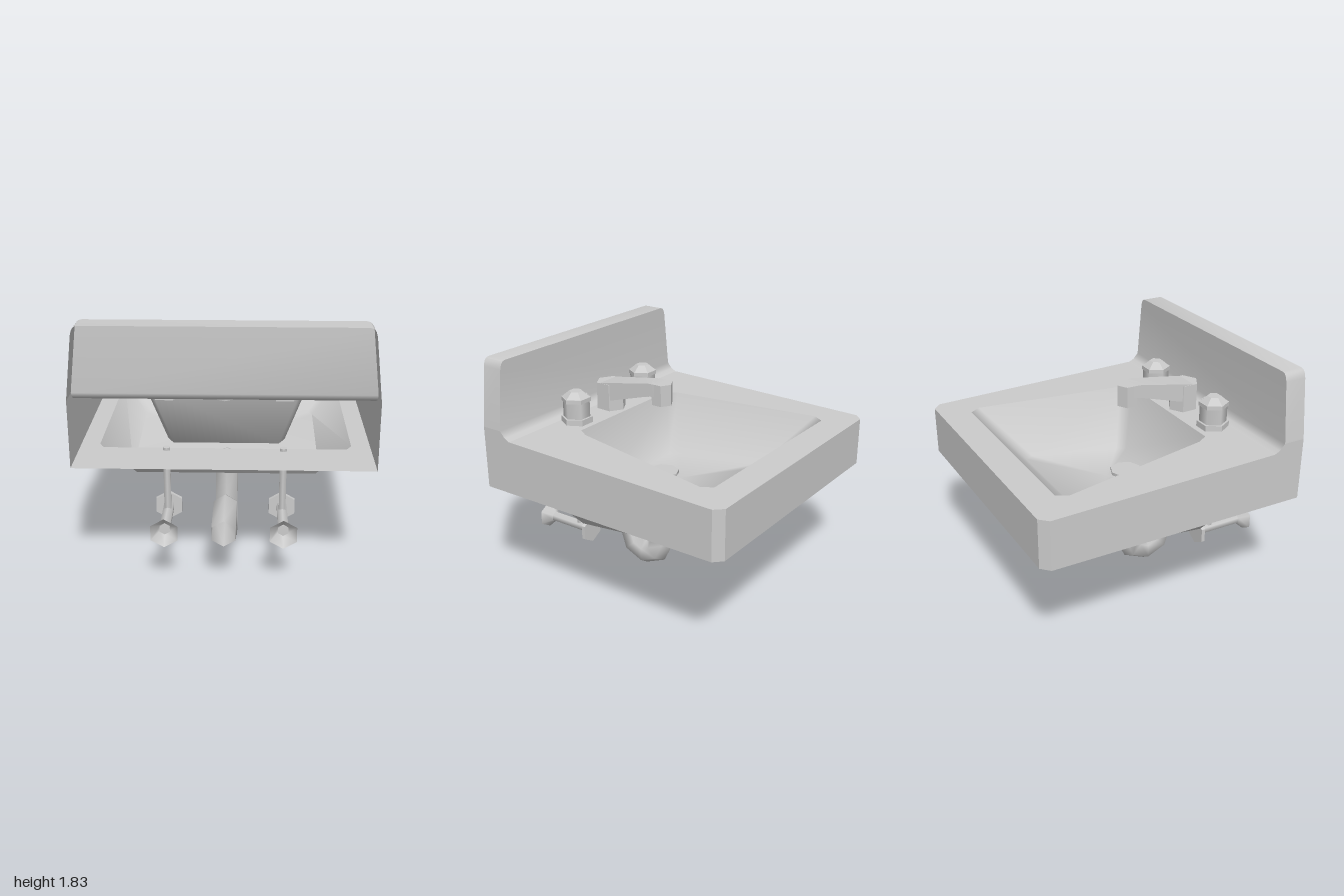
import * as THREE from 'three';
import { toCreasedNormals } from 'three/addons/utils/BufferGeometryUtils.js';

const material = new THREE.MeshStandardMaterial({ color: 0xcccccc, side: THREE.DoubleSide });
const FLOOR = 0.87;
const deckY = (z) => 1.23 + (z + 1) * 0.023;

function add(parent, name, geometry) {
  const mesh = new THREE.Mesh(geometry, material);
  mesh.name = name;
  parent.add(mesh);
  return mesh;
}

// Skin a list of rings, each holding the same number of [x, y, z] points
function loft(rings, closed = true) {
  const n = rings[0].length, index = [];
  for (let r = 0; r < rings.length - 1; r++) {
    for (let i = 0; i < (closed ? n : n - 1); i++) {
      const a = r * n + i, b = r * n + (i + 1) % n;
      index.push(a, b, a + n, b, b + n, a + n);
    }
  }
  const geo = new THREE.BufferGeometry();
  geo.setAttribute('position', new THREE.Float32BufferAttribute(rings.flat(2), 3));
  geo.setIndex(index);
  geo.computeVertexNormals();
  return geo;
}

// Symmetric outline in [x, z] from its +x half
const mirrored = (half) => [...half, ...half.map(([x, z]) => [-x, z]).reverse()];

// Trapezoid with cut corners: half-width and z at both ends
const trapezoid = (w0, z0, w1, z1, cut) => mirrored([
  [w0 - cut * 0.6, z0], [w0, z0 + cut], [w1, z1 - cut], [w1 - cut * 0.6, z1]]);

const lift = (outline, fy) => outline.map(([x, z]) => [x, fy(z), z]);

// Flat sheet with a hole, its height set by a rule of z
function sheet(outline, hole, fy) {
  const toV = (p) => new THREE.Vector2(p[0], p[1]);
  const shape = new THREE.Shape(outline.map(toV));
  shape.holes.push(new THREE.Path(hole.map(toV)));
  const geo = new THREE.ShapeGeometry(shape);
  const pos = geo.attributes.position;
  for (let i = 0; i < pos.count; i++) {
    const z = pos.getY(i);
    pos.setXYZ(i, pos.getX(i), fy(z), z);
  }
  geo.computeVertexNormals();
  return geo;
}

// Six-sided tube swept along [z, y] points with mitred joints
function sweep(path, radius) {
  const pts = path.map(([z, y]) => new THREE.Vector2(z, y));
  const rings = pts.map((p, i) => {
    const d0 = pts[Math.max(i, 1)].clone().sub(pts[Math.max(i, 1) - 1]).normalize();
    const j = Math.min(i, pts.length - 2);
    const d1 = pts[j + 1].clone().sub(pts[j]).normalize();
    const t = d0.clone().add(d1).normalize();
    const miter = radius / t.dot(d1);
    return Array.from({ length: 6 }, (_, k) => {
      const a = k * Math.PI / 3, off = Math.cos(a) * miter;
      return [radius * Math.sin(a), p.y + t.x * off, p.x - t.y * off];
    });
  });
  return loft(rings);
}

// Hexagonal cylinder or cone between two heights
function hex(rBottom, rTop, y0, y1, start = 0, open = false) {
  const geo = new THREE.CylinderGeometry(rTop, rBottom, y1 - y0, 6, 1, open, start);
  return geo.translate(0, (y0 + y1) / 2, 0);
}

export function createModel() {
  const model = new THREE.Group();
  model.name = 'wallSink';

  const rim = trapezoid(0.78, -0.78, 0.57, 0.51, 0.08);
  const pan = trapezoid(0.87, -0.8, 0.87, 0.64, 0.06);

  // Outer casing, open towards the wall
  const casing = new THREE.Group();
  casing.name = 'casing';
  model.add(casing);
  const side = mirrored([[1, 1], [1, 0.84], [1, 0.8], [1, 0.76], [1, -0.94], [0.94, -1]]);
  const topEdge = (z) => (z >= 0.84 ? 1.335 : z >= 0.8 ? 1.29 : deckY(z));
  add(casing, 'apron', toCreasedNormals(
    loft([lift(side, () => FLOOR), lift(side, topEdge)], false), 0.5));
  add(casing, 'deck', sheet(mirrored([[1, 0.76], [1, -0.94], [0.94, -1]]), rim, deckY));
  add(casing, 'underside', sheet(mirrored([[1, 1], [1, -0.94], [0.94, -1]]), pan, () => FLOOR));

  // Backsplash: coved face plus its side and top edge
  const splash = [[1, 1.335], [0.95, 1.77], [0.94, 1.805], [0.925, 1.823], [0.9, 1.83]];
  const faceRows = [[1, deckY(0.76), 0.76], [1, 1.29, 0.8], ...splash.map(([x, y]) => [x, y, 0.84])];
  add(casing, 'backsplashFace', loft(faceRows.map(([x, y, z]) => [[x, y, z], [-x, y, z]]), false));
  const edge = mirrored(splash);
  add(casing, 'backsplashEdge', toCreasedNormals(
    loft([0.84, 1].map((z) => edge.map(([x, y]) => [x, y, z])), false), 0.6));

  // Inner basin and the outer pan below it
  const basinY = (z) => 0.83 - z * 0.07;
  const basinFloor = trapezoid(0.53, -0.45, 0.42, 0.38, 0.07);
  add(model, 'basin', loft([lift(rim, deckY), lift(basinFloor, basinY),
    basinFloor.map(() => [0, basinY(0), 0])]));
  const panY = (z) => 0.6 + (0.45 - z) * 0.1;
  const panFloor = trapezoid(0.67, -0.55, 0.67, 0.45, 0.05);
  add(model, 'outerPan', toCreasedNormals(loft([lift(pan, () => FLOOR), lift(panFloor, panY),
    panFloor.map(() => [0, panY(0), 0])]), 0.8));

  // Drain and trap
  const drain = add(model, 'drain', new THREE.CylinderGeometry(0.12, 0.12, 0.03, 8));
  drain.position.set(0, 0.835, 0.16);
  add(model, 'trapPipe', sweep([[0.172, 0.64], [0.172, 0.25], [0.225, 0.145], [0.33, 0.1],
    [0.44, 0.15], [0.505, 0.35], [0.61, 0.4], [1, 0.4]], 0.094));

  // Spout
  const spout = new THREE.Group();
  spout.name = 'spout';
  model.add(spout);
  add(spout, 'spoutBase', toCreasedNormals(hex(0.115, 0.115, 1.26, 1.475), 0.3)).position.z = 0.652;
  const bar = (z, w, y0, y1) => [[-w, y0, z], [w, y0, z], [w, y1, z], [-w, y1, z]];
  add(spout, 'spoutArm', toCreasedNormals(loft([bar(0.7, 0.098, 1.33, 1.472),
    bar(0.56, 0.092, 1.36, 1.497), bar(0.24, 0.076, 1.45, 1.55), bar(0.16, 0.07, 1.46, 1.55)]), 0.2));
  add(spout, 'spoutTip', toCreasedNormals(hex(0.083, 0.083, 1.39, 1.55), 0.3)).position.z = 0.167;

  for (const s of [-1, 1]) {
    // Tap knob
    const knob = new THREE.Group();
    knob.name = s > 0 ? 'leftKnob' : 'rightKnob';
    knob.position.set(s * 0.4, 0, 0.655);
    model.add(knob);
    const turn = Math.PI / 6;
    add(knob, 'knobFlange', toCreasedNormals(hex(0.118, 0.118, 1.26, 1.31, turn), 0.3));
    add(knob, 'knobBody', hex(0.1, 0.1, 1.31, 1.43, turn));
    add(knob, 'knobCap', toCreasedNormals(hex(0.11, 0.11, 1.43, 1.46, turn), 0.3));
    add(knob, 'knobDome', toCreasedNormals(hex(0.105, 0.05, 1.46, 1.505, turn), 0.3));

    // Supply pipe with wall flange and shut-off handle
    const supply = new THREE.Group();
    supply.name = s > 0 ? 'leftSupply' : 'rightSupply';
    supply.position.x = s * 0.4;
    model.add(supply);
    add(supply, 'riser', hex(0.027, 0.027, 0.42, 0.89)).position.z = 0.67;
    const valve = new THREE.Group();
    valve.name = 'valve';
    valve.position.y = 0.4;
    valve.rotation.x = Math.PI / 2;
    supply.add(valve);
    add(valve, 'valvePipe', hex(0.04, 0.04, 0.57, 0.94));
    add(valve, 'wallFlange', hex(0.04, 0.105, 0.93, 1, 0, true));
    add(valve, 'valveHandle', toCreasedNormals(hex(0.105, 0.105, 0.55, 0.578), 0.3));
  }
  return model;
}
